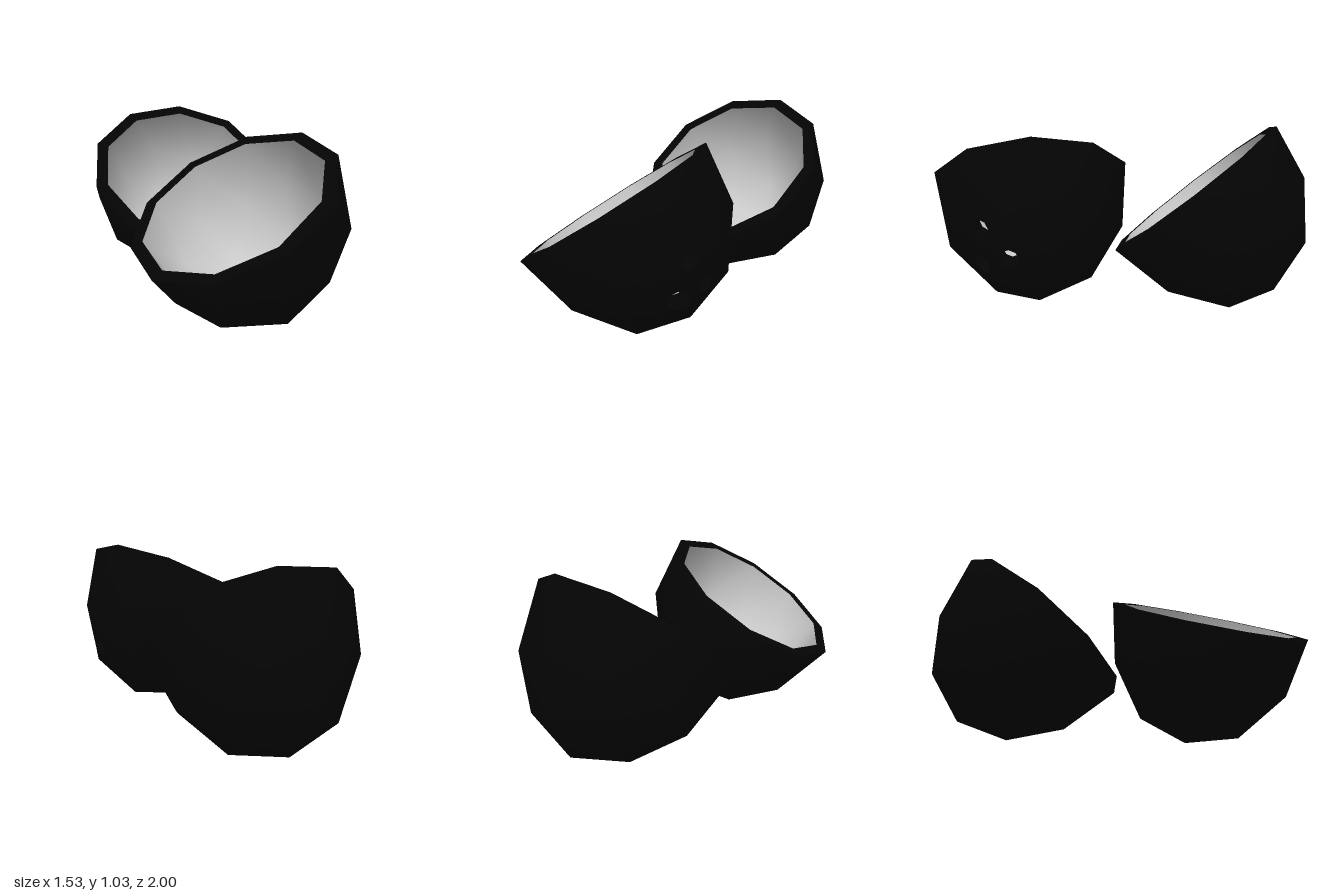
import * as THREE from 'three';

const R = 0.567, DEPTH = 0.73, INNER = 0.877; // rim radius, bowl depth, inside scale
const husk = new THREE.MeshStandardMaterial({ color: 0x040404 });
const flesh = new THREE.MeshStandardMaterial({ color: 0xcccccc });

// Smooth normal of the ellipsoid at a point
const ellipsoidNormal = (p) =>
  new THREE.Vector3(p.x / R ** 2, p.y / DEPTH ** 2, p.z / R ** 2).normalize();

// Lower half of a once-divided icosahedron with a corner at the pole, stretched into a bowl
function bowlFaces() {
  const ico = new THREE.IcosahedronGeometry(1, 1);
  ico.rotateZ(-Math.atan(2 / (1 + Math.sqrt(5))));
  ico.scale(R, DEPTH, R);
  const pos = ico.attributes.position, faces = [];
  for (let i = 0; i < pos.count; i += 3) {
    const f = [0, 1, 2].map((k) => new THREE.Vector3().fromBufferAttribute(pos, i + k));
    if (f[0].y + f[1].y + f[2].y < -0.01) faces.push(f);
  }
  return faces;
}

// Cut a convex polygon by a plane through the origin
function split(poly, n) {
  const inside = [], outside = [];
  poly.forEach((p, i) => {
    const q = poly[(i + 1) % poly.length], a = n.dot(p), b = n.dot(q);
    if (a <= 0) inside.push(p);
    if (a >= 0) outside.push(p);
    if (a * b < 0) {
      const c = p.clone().lerp(q, a / (a - b));
      inside.push(c);
      outside.push(c);
    }
  });
  return { inside, outside };
}

// Side planes of an eight-sided cone from the origin through a point
function holePlanes(centre, radius) {
  const axis = centre.clone().normalize();
  const u = new THREE.Vector3(0, 1, 0).cross(axis).normalize();
  const v = axis.clone().cross(u);
  return Array.from({ length: 8 }, (_, k) => {
    const a = (k / 8) * Math.PI * 2;
    return u.clone().multiplyScalar(Math.cos(a)).addScaledVector(v, Math.sin(a))
      .addScaledVector(axis, -radius / centre.length()).normalize();
  });
}

// Mesh from a list of convex polygons
function polyMesh(name, polys, material, normalAt) {
  const points = [];
  for (const p of polys)
    for (let i = 1; i < p.length - 1; i++) points.push(p[0], p[i], p[i + 1]);
  const geo = new THREE.BufferGeometry().setFromPoints(points);
  if (normalAt) {
    const normals = points.flatMap((p) => normalAt(p).toArray());
    geo.setAttribute('normal', new THREE.Float32BufferAttribute(normals, 3));
  } else geo.computeVertexNormals();
  const mesh = new THREE.Mesh(geo, material);
  mesh.name = name;
  return mesh;
}

// One half shell: position of the rim centre, opening direction, direction of a lower corner
function halfShell(name, centre, up, corner, holes = []) {
  const group = new THREE.Group();
  group.name = name;
  const y = new THREE.Vector3(...up).normalize();
  const x = new THREE.Vector3(...corner).negate();
  x.addScaledVector(y, -x.dot(y)).normalize();
  const basis = new THREE.Matrix4().makeBasis(x, y, x.clone().cross(y));
  group.quaternion.setFromRotationMatrix(basis);
  group.position.set(...centre);
  group.updateMatrix();
  const toLocal = group.matrix.clone().invert();

  const shrink = (p) => p.clone().multiplyScalar(INNER);
  const wall = (p, q) => [p, q, shrink(q), shrink(p)];
  const eachEdge = (poly, fn) => poly.forEach((p, i) => fn(p, poly[(i + 1) % poly.length]));

  // Flat rim between the outside and the inside
  let faces = bowlFaces();
  const rim = [], holeWalls = [];
  for (const f of faces)
    eachEdge(f, (p, q) => {
      if (Math.abs(p.y) < 1e-5 && Math.abs(q.y) < 1e-5) rim.push(wall(q, p));
    });

  // Cut each hole out of the faces and line it
  for (const [px, py, pz, radius] of holes) {
    const planes = holePlanes(new THREE.Vector3(px, py, pz).applyMatrix4(toLocal), radius);
    const kept = [];
    for (const face of faces) {
      let piece = face;
      const cutOff = [];
      for (const n of planes) {
        const s = split(piece, n);
        if (s.outside.length > 2) cutOff.push(s.outside);
        piece = s.inside;
        if (piece.length < 3) break;
      }
      if (piece.length < 3) {
        kept.push(face);
        continue;
      }
      kept.push(...cutOff);
      eachEdge(piece, (p, q) => {
        const onCut = planes.some((n) => Math.abs(n.dot(p)) < 1e-6 && Math.abs(n.dot(q)) < 1e-6);
        if (onCut) holeWalls.push(wall(p, q));
      });
    }
    faces = kept;
  }

  const inner = faces.map((f) => f.map(shrink).reverse());
  group.add(polyMesh('outerHusk', faces, husk, ellipsoidNormal));
  group.add(polyMesh('innerFlesh', inner, flesh, (p) => ellipsoidNormal(p).negate()));
  group.add(polyMesh('rim', rim, husk));
  if (holeWalls.length) group.add(polyMesh('holeWalls', holeWalls, husk));
  return group;
}

export function createModel() {
  const model = new THREE.Group();
  model.name = 'coconutHalves';
  model.add(
    // Front half with its three eyes (x, y, z, radius)
    halfShell('frontHalf', [0.178, 0.668, 0.494], [-0.367, 0.837, 0.405], [-0.807, -0.472, 0.356], [
      [0.744, 0.5, 0.34, 0.048],
      [0.7, 0.29, 0.385, 0.058],
      [0.67, 0.33, 0.205, 0.052],
    ]),
    halfShell('backHalf', [-0.2, 0.666, -0.391], [0.248, 0.772, 0.585], [-0.13, -0.57, 0.815]),
  );
  return model;
}
